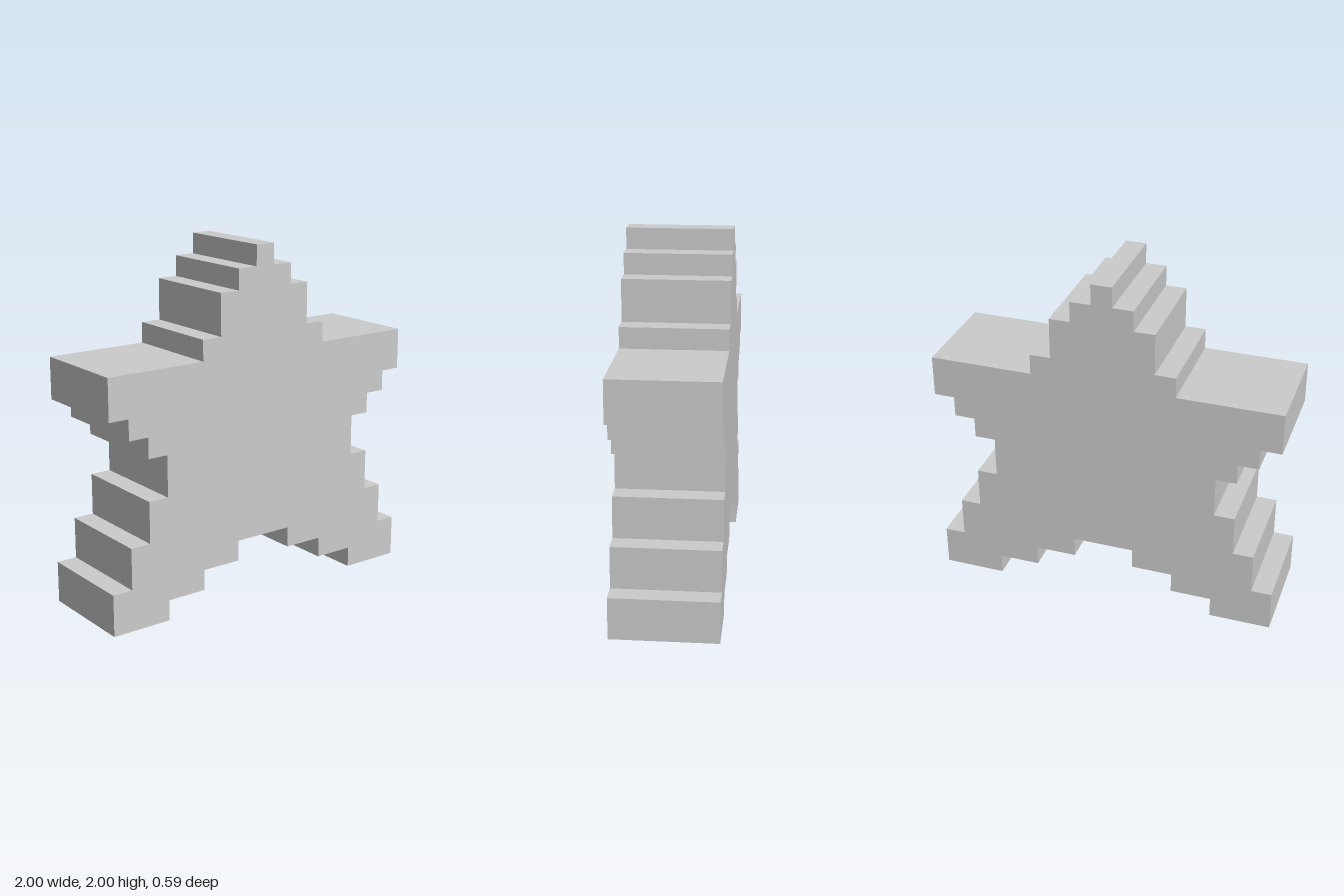
import * as THREE from 'three';

const U = 2 / 17; // one pixel step
const DEPTH = 5 * U;

// Left half of the stepped outline, from the tip down: [level y, x after the step], in pixels
const STEPS = [
  [16, 1.5], [15, 2.5], [13, 3.5], [12, 8.5], // tip and top of the arm
  [10, 7.5], [9, 6.5], [8, 5.5],              // underside of the arm
  [6, 6.5], [4, 7.5], [2, 8.5],               // outside of the leg
  [0, 5.5], [1, 3.5], [2, 1.5],               // foot and inside of the leg
];

function starShape() {
  const half = [[0.5, 17]];
  let x = 0.5;
  for (const [y, nextX] of STEPS) {
    half.push([x, y], [nextX, y]);
    x = nextX;
  }
  half.push([x, 3]);
  // Mirror the half to close the outline
  const mirrored = half.map(([px, py]) => [-px, py]).reverse();
  return new THREE.Shape([...half, ...mirrored].map(([px, py]) => new THREE.Vector2(px * U, py * U)));
}

export function createModel() {
  const group = new THREE.Group();
  group.name = 'pixelStar';

  // Solid star slab, centred in depth
  const geometry = new THREE.ExtrudeGeometry(starShape(), { depth: DEPTH, bevelEnabled: false });
  geometry.translate(0, 0, -DEPTH / 2);
  const material = new THREE.MeshStandardMaterial({ color: 0xcccccc, flatShading: true });
  const star = new THREE.Mesh(geometry, material);
  star.name = 'starBody';
  group.add(star);

  return group;
}
